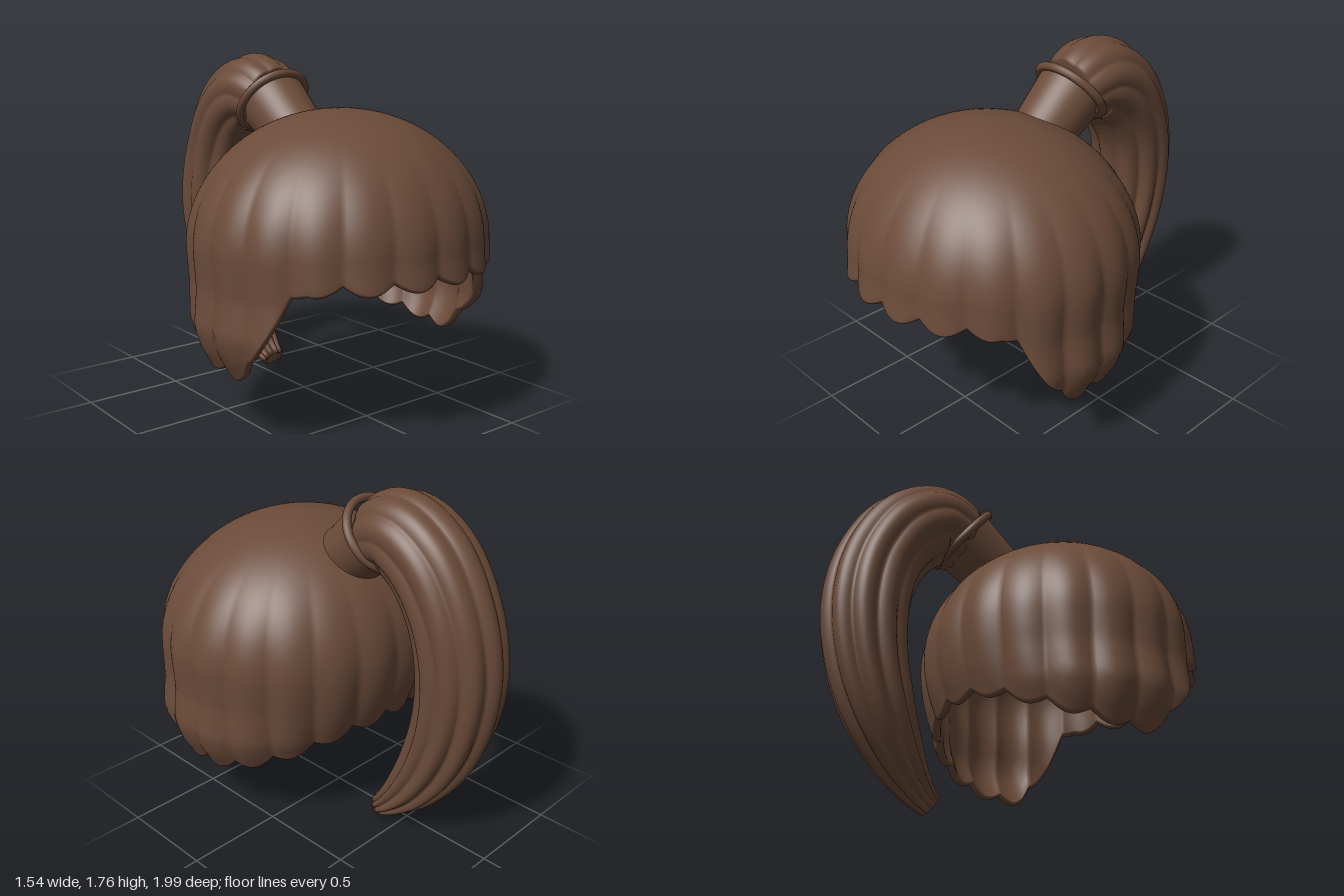
import * as THREE from 'three';

const hairBrown = new THREE.MeshStandardMaterial({ color: 0x6b4b39 });
hairBrown.name = 'hairBrown';

// Piecewise linear lookup in a list of [key, value] pairs
function lookup(table, k) {
  if (k <= table[0][0]) return table[0][1];
  for (let i = 1; i < table.length; i++) {
    const [k0, v0] = table[i - 1], [k1, v1] = table[i];
    if (k <= k1) return v0 + (v1 - v0) * (k - k0) / (k1 - k0);
  }
  return table[table.length - 1][1];
}

// Surface through rows of points, closed around each row
function rowSurface(rows, cols, point) {
  const pos = [], index = [];
  for (let i = 0; i <= rows; i++) {
    for (let j = 0; j < cols; j++) {
      pos.push(...point(i, (j / cols) * Math.PI * 2).toArray());
      if (i === rows) continue;
      const a = i * cols + j, b = i * cols + (j + 1) % cols;
      index.push(a, a + cols, b + cols, a, b + cols, b);
    }
  }
  const geo = new THREE.BufferGeometry();
  geo.setAttribute('position', new THREE.Float32BufferAttribute(pos, 3));
  geo.setIndex(index);
  geo.computeVertexNormals();
  return geo;
}

function named(name, geo) {
  const mesh = new THREE.Mesh(geo, hairBrown);
  mesh.name = name;
  return mesh;
}

// Hem height by angle from the front: fringe, side lock, nape
const HEM = [[0, 0.77], [0.84, 0.77], [0.95, 0.71], [1.1, 0.55], [1.22, 0.42], [1.32, 0.345], [1.42, 0.32], [1.58, 0.32],
  [1.82, 0.345], [2.1, 0.39], [2.42, 0.46], [2.75, 0.53], [3.15, 0.55]];
// Side flare by drop below the widest level
const SIDE = [[0, 1], [0.18, 0.985], [0.36, 1.01], [0.46, 0.97], [0.58, 0.88]];

function capGeometry() {
  const OUT = 40, LIP = 8, IN = 24, EQ = 0.88, RY = 0.63, THICK = 0.07;
  return rowSurface(OUT + LIP + IN, 280, (i, a) => {
    const side = Math.abs(a > Math.PI ? a - Math.PI * 2 : a);
    const lobe = Math.abs(Math.sin(a * 10));
    const hem = lookup(HEM, side) + 0.045 * (1 - lobe);
    const uMax = Math.PI / 2 + (EQ - hem) / RY;
    // outer shell down, round the lip, then the lining back up
    const lip = THREE.MathUtils.clamp((i - OUT) / LIP, 0, 1) * Math.PI;
    const f = i <= OUT ? i / OUT : i <= OUT + LIP ? 1 : 1 - (i - OUT - LIP) / IN;
    const u = f * uMax;
    const shrink = 1 - THICK * (1 - Math.cos(lip)) / 2;
    const drop = Math.max(0, (u - Math.PI / 2) * RY);
    const y = (drop > 0 ? EQ - drop : EQ + RY * Math.cos(u) * shrink) - 0.018 * Math.sin(lip);
    const w = Math.sin(a) ** 2;
    const ends = Math.cos(a) > 0 ? 1 + 0.2 * drop : 1 - drop * drop;
    const flare = w * lookup(SIDE, drop) + (1 - w) * ends;
    const strand = 1 + 0.035 * THREE.MathUtils.smoothstep(u, 0.5, 1.9) * (lobe - 0.55);
    const r = Math.sin(Math.min(u, Math.PI / 2)) * flare * strand * shrink;
    return new THREE.Vector3(0.76 * r * Math.sin(a), y, 0.28 + 0.69 * r * Math.cos(a));
  });
}

// Ponytail stations: x, y, z, radius
const TAIL = [[0, 1.51, -0.26, 0.18], [0, 1.55, -0.42, 0.215], [0, 1.46, -0.59, 0.225], [0, 1.24, -0.73, 0.222],
  [-0.01, 0.97, -0.785, 0.22], [-0.01, 0.7, -0.76, 0.205], [0, 0.46, -0.68, 0.18],
  [0.03, 0.25, -0.56, 0.135], [0.06, 0.11, -0.44, 0.085], [0.07, 0.05, -0.37, 0.06]];

function tailGeometry() {
  const ROWS = 70;
  const curve = new THREE.CatmullRomCurve3(TAIL.map(([x, y, z]) => new THREE.Vector3(x, y, z)));
  const radii = new THREE.CatmullRomCurve3(TAIL.map((s, i) => new THREE.Vector3(i, s[3], 0)));
  const across = new THREE.Vector3(1, 0, 0);
  // first and last rows collapse to close the ends
  return rowSurface(ROWS + 2, 120, (i, a) => {
    const t = THREE.MathUtils.clamp((i - 1) / ROWS, 0, 1);
    const closed = i === 0 || i === ROWS + 2;
    const k = curve.getUtoTmapping(t);
    const tangent = curve.getTangent(k);
    const normal = tangent.clone().cross(across).normalize();
    const groove = 0.05 + 0.16 * t;
    const r = closed ? 0 : radii.getPoint(k).y * (1 - groove * (1 - Math.abs(Math.cos(a * 5))));
    const p = curve.getPoint(k);
    if (i === ROWS + 2) p.addScaledVector(tangent, -0.03);
    return p.addScaledVector(normal, r * Math.cos(a)).addScaledVector(across, r * Math.sin(a));
  });
}

export function createModel() {
  const model = new THREE.Group();
  model.name = 'ponytailHair';

  model.add(named('hairCap', capGeometry()));
  model.add(named('ponytail', tailGeometry()));

  // Gathered root and hair tie share the tilted axis of the ponytail
  const root = new THREE.Group();
  root.name = 'ponytailRoot';
  root.position.set(0, 1.515, -0.27);
  root.rotation.x = -Math.atan2(0.78, 0.62);
  const stub = named('gatheredRoot', new THREE.CylinderGeometry(0.18, 0.155, 0.3, 48, 1, true));
  stub.position.y = -0.14;
  const tie = named('hairTie', new THREE.TorusGeometry(0.19, 0.022, 12, 64));
  tie.rotation.x = Math.PI / 2;
  root.add(stub, tie);
  model.add(root);
  return model;
}
